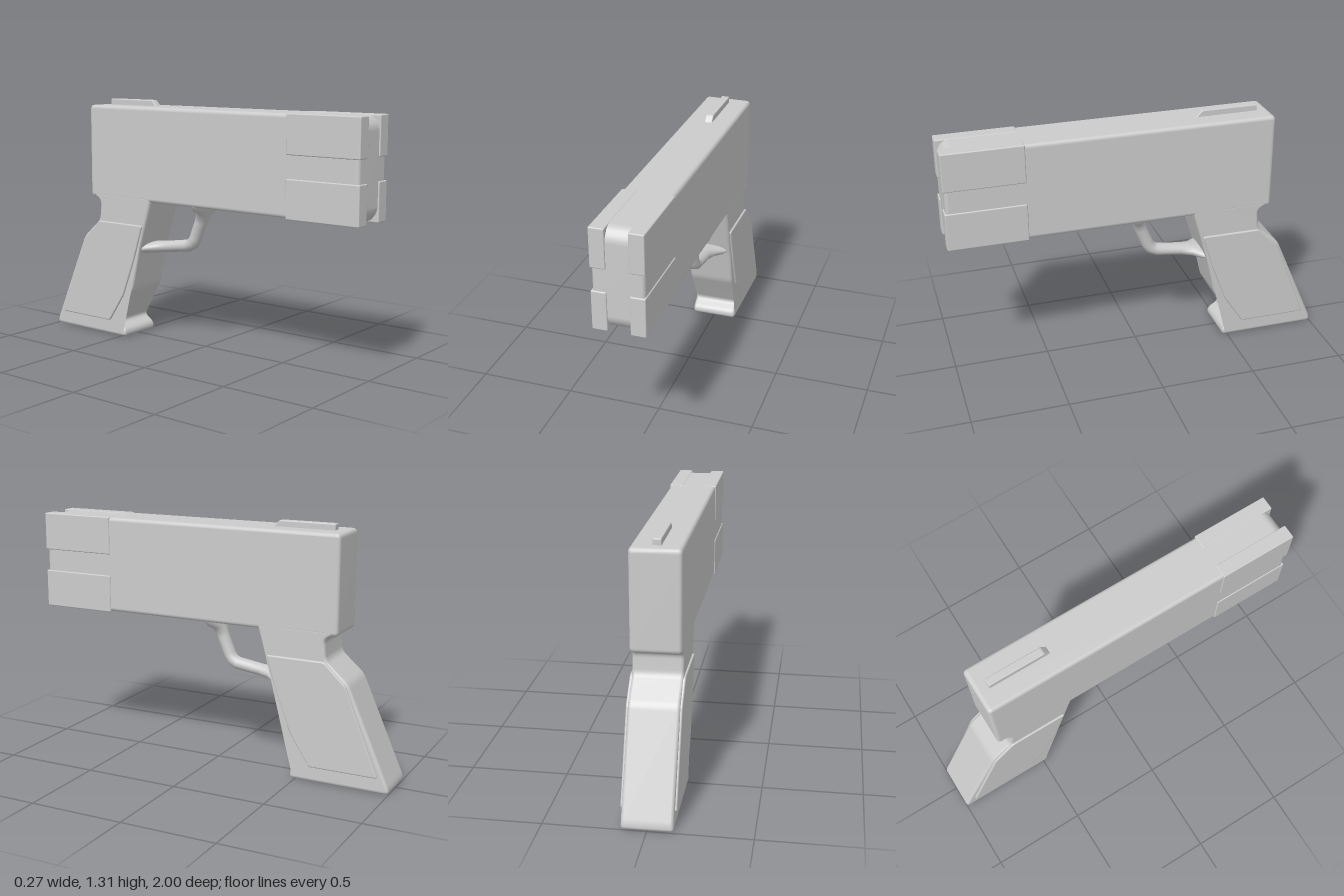
import * as THREE from 'three';
import { mergeVertices } from 'three/addons/utils/BufferGeometryUtils.js';
import { RoundedBoxGeometry } from 'three/addons/geometries/RoundedBoxGeometry.js';

const material = new THREE.MeshStandardMaterial({ color: 0xcccccc });

// Side outline of [z, y] points with softened corners, extruded across x
function slab(points, halfWidth, bevel, radius) {
  const pts = points.map(([z, y]) => new THREE.Vector2(z, y));
  const shape = new THREE.Shape();
  pts.forEach((p, i) => {
    const toward = (q) => {
      const d = q.clone().sub(p);
      const len = d.length();
      return d.multiplyScalar(Math.min(radius, len * 0.45) / len).add(p);
    };
    const a = toward(pts[(i + pts.length - 1) % pts.length]);
    const b = toward(pts[(i + 1) % pts.length]);
    if (i === 0) shape.moveTo(a.x, a.y);
    else shape.lineTo(a.x, a.y);
    shape.quadraticCurveTo(p.x, p.y, b.x, b.y);
  });
  shape.closePath();
  const depth = 2 * (halfWidth - bevel);
  let geo = new THREE.ExtrudeGeometry(shape, {
    depth, curveSegments: 4, bevelEnabled: true, bevelSize: bevel,
    bevelThickness: bevel, bevelOffset: -bevel, bevelSegments: 4,
  });
  geo.translate(0, 0, -depth / 2);
  geo.rotateY(-Math.PI / 2);
  geo.deleteAttribute('uv');
  geo.deleteAttribute('normal');
  geo = mergeVertices(geo, 1e-4);
  geo.computeVertexNormals();
  return geo;
}

// Oval cross-sections [z, y, halfThickness, halfWidth] joined into a bar
function loftBar(sections, sides = 20) {
  const pos = [], index = [];
  sections.forEach(([z, y, h, w], i) => {
    const p = sections[Math.max(i - 1, 0)];
    const q = sections[Math.min(i + 1, sections.length - 1)];
    const t = new THREE.Vector2(q[0] - p[0], q[1] - p[1]).normalize();
    for (let j = 0; j < sides; j++) {
      const a = (j / sides) * Math.PI * 2;
      const s = Math.sin(a) * h;
      pos.push(Math.cos(a) * w, y + t.x * s, z - t.y * s);
      if (i < sections.length - 1) {
        const k = (j + 1) % sides, r = i * sides;
        index.push(r + j, r + k, r + sides + j);
        index.push(r + k, r + sides + k, r + sides + j);
      }
    }
  });
  const geo = new THREE.BufferGeometry();
  geo.setAttribute('position', new THREE.Float32BufferAttribute(pos, 3));
  geo.setIndex(index);
  geo.computeVertexNormals();
  return geo;
}

export function createModel() {
  const model = new THREE.Group();
  const add = (name, geo, x = 0, y = 0, z = 0) => {
    const mesh = new THREE.Mesh(geo, material);
    mesh.name = name;
    mesh.position.set(x, y, z);
    model.add(mesh);
  };

  // Long upper body with a softened front end
  add('upperBody', slab([
    [-0.715, 0.77], [0.955, 0.77], [0.993, 0.82], [0.993, 1.23], [0.955, 1.278], [-0.715, 1.278],
  ], 0.125, 0.018, 0.025));

  // Four corner blocks around the front end
  for (const side of [-1, 1]) {
    for (const y of [0.865, 1.18]) {
      add('frontBlock', new RoundedBoxGeometry(0.075, 0.2, 0.41, 3, 0.006), side * 0.0925, y, 0.795);
    }
  }

  // Thin rail on top
  add('topRail', slab([
    [-0.65, 1.26], [-0.305, 1.26], [-0.35, 1.31], [-0.65, 1.31],
  ], 0.021, 0.005, 0.008));

  // Slanted handle with a flared foot
  add('grip', slab([
    [-0.275, 0.80], [-0.285, 0.765], [-0.37, 0.48], [-0.415, 0.28], [-0.53, 0.08],
    [-0.47, 0.04], [-0.47, 0], [-1, 0], [-1, 0.03], [-0.775, 0.54],
    [-0.655, 0.645], [-0.645, 0.75], [-0.69, 0.775], [-0.69, 0.80],
  ], 0.125, 0.016, 0.024));

  // Raised plates on both sides of the handle
  add('gripPanels', slab([
    [-0.335, 0.64], [-0.395, 0.45], [-0.475, 0.24], [-0.58, 0.08],
    [-0.945, 0.08], [-0.765, 0.53], [-0.65, 0.64],
  ], 0.135, 0.007, 0.014));

  // Guard bar, widening where it meets the body and the handle
  add('guard', loftBar([
    [0.01, 0.785, 0.036, 0.125], [0, 0.75, 0.034, 0.11], [-0.01, 0.725, 0.033, 0.05],
    [-0.03, 0.675, 0.033, 0.038], [-0.067, 0.583, 0.033, 0.036], [-0.085, 0.556, 0.034, 0.036],
    [-0.115, 0.539, 0.033, 0.036], [-0.25, 0.52, 0.031, 0.04], [-0.31, 0.512, 0.031, 0.06],
    [-0.35, 0.507, 0.031, 0.1], [-0.4, 0.5, 0.031, 0.12],
  ]));

  return model;
}
